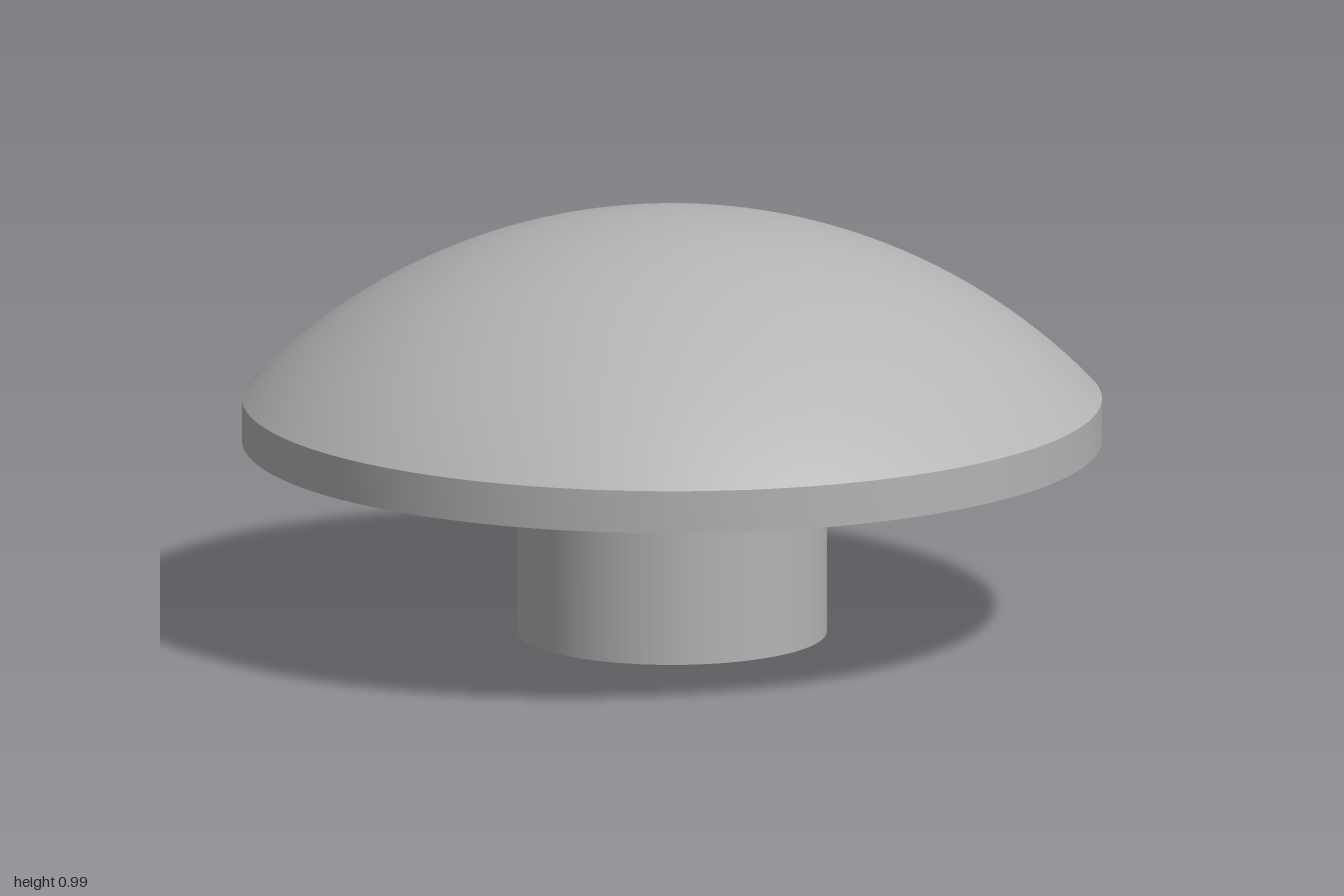
import * as THREE from 'three';
import { toCreasedNormals } from 'three/addons/utils/BufferGeometryUtils.js';

const SEGMENTS = 128;
const RIM_Y = 0.455, EDGE_Y = 0.555, TOP_Y = 0.987;

export function createModel() {
  const model = new THREE.Group();
  model.name = 'domedButton';
  const grey = new THREE.MeshStandardMaterial({ color: 0xb4b4b4 });
  grey.name = 'plain grey';

  function add(name, geometry) {
    const mesh = new THREE.Mesh(toCreasedNormals(geometry, 0.5), grey);
    mesh.name = name;
    model.add(mesh);
  }
  const lathe = (points) => new THREE.LatheGeometry(
    points.map(([r, y]) => new THREE.Vector2(r, y)), SEGMENTS);

  // Spherical dome, from the edge up to the apex
  const sag = TOP_Y - EDGE_Y;
  const radius = (1 + sag * sag) / (2 * sag);
  const halfAngle = Math.asin(1 / radius);
  const arc = [];
  for (let i = 0; i <= 32; i++) {
    const a = halfAngle * (1 - i / 32);
    arc.push([radius * Math.sin(a), TOP_Y - radius * (1 - Math.cos(a))]);
  }
  add('dome', lathe(arc));

  // Hub, ring groove and outer rim on the underside
  add('rimAndHub', lathe([
    [0, RIM_Y], [0.53, RIM_Y], [0.53, 0.64], [0.84, 0.64],
    [0.84, RIM_Y], [1, RIM_Y], [1, EDGE_Y],
  ]));

  // Round stem with a cross-shaped socket reaching up to the hub
  const stem = new THREE.Shape().absarc(0, 0, 0.36, 0, Math.PI * 2, false);
  const w = 0.071, l = 0.27;
  const cross = [];
  for (let i = 0; i < 4; i++) {
    for (const [x, y] of [[l, -w], [l, w], [w, w]]) {
      cross.push(new THREE.Vector2(x, y).rotateAround(new THREE.Vector2(), i * Math.PI / 2));
    }
  }
  stem.holes.push(new THREE.Path(cross.reverse()));
  const stemGeometry = new THREE.ExtrudeGeometry(stem, {
    depth: RIM_Y, bevelEnabled: false, curveSegments: SEGMENTS,
  });
  stemGeometry.rotateX(-Math.PI / 2);
  add('stem', stemGeometry);

  return model;
}
